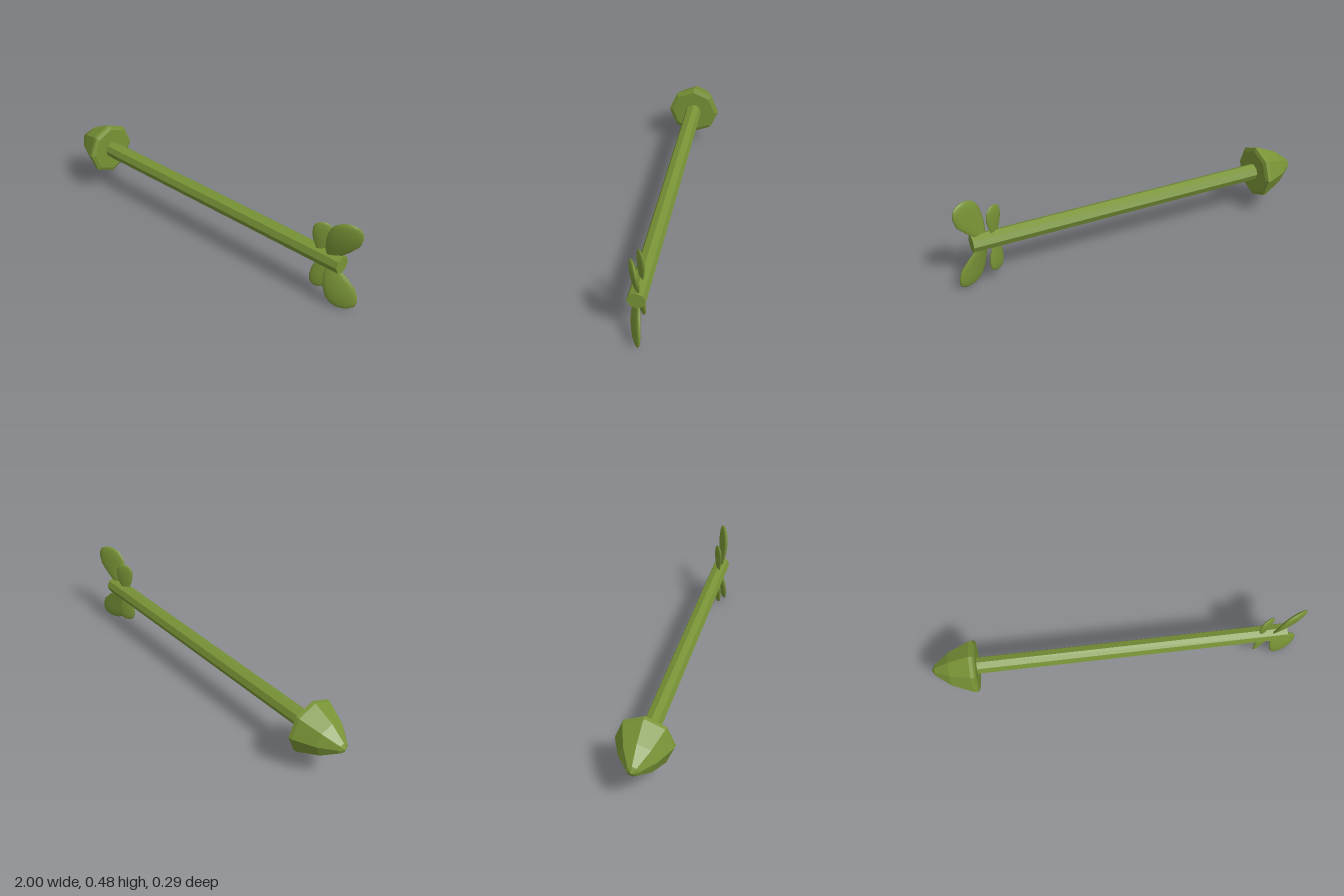
import * as THREE from 'three';

const AXIS_Y = 0.245;

// Hard facets without changing the shared material
function faceted(geometry) {
  const g = geometry.index ? geometry.toNonIndexed() : geometry;
  g.computeVertexNormals();
  return g;
}

// Vane lofted from rows of [height from axis, left x, right x, half thickness]
function vaneGeometry(rows, slope, zShift, side) {
  const N = 14, pos = [], idx = [];
  for (const [h, l, r, t] of rows) {
    const half = (r - l) / 2, mid = (l + r) / 2;
    for (let j = 0; j < N; j++) {
      const a = (j / N) * Math.PI * 2;
      const dx = Math.cos(a) * half;
      pos.push(mid + dx, AXIS_Y + side * h, zShift - slope * dx + Math.sin(a) * t);
    }
  }
  const tri = (a, b, c) => (side > 0 ? idx.push(a, b, c) : idx.push(a, c, b));
  for (let i = 0; i < rows.length - 1; i++) {
    for (let j = 0; j < N; j++) {
      const k = (j + 1) % N;
      const p = i * N + j, q = i * N + k;
      tri(p, p + N, q);
      if (i < rows.length - 2) tri(p + N, q + N, q);
    }
  }
  const g = new THREE.BufferGeometry();
  g.setAttribute('position', new THREE.Float32BufferAttribute(pos, 3));
  g.setIndex(idx);
  g.computeVertexNormals();
  return g;
}

export function createModel() {
  const model = new THREE.Group();
  model.name = 'arrow';
  const green = new THREE.MeshStandardMaterial({ color: 0x789336 });
  green.name = 'leaf green';

  const add = (name, geometry) => {
    const mesh = new THREE.Mesh(geometry, green);
    mesh.name = name;
    model.add(mesh);
    return mesh;
  };

  // Eight-sided shaft
  const shaft = new THREE.CylinderGeometry(0.046, 0.046, 1.68, 8);
  shaft.rotateZ(Math.PI / 2).translate(0.07, AXIS_Y, 0);
  add('shaft', faceted(shaft));

  // Eight-sided bud-shaped head, turned around the shaft axis
  const profile = [
    [0, 0.757], [0.126, 0.757], [0.147, 0.766], [0.145, 0.785],
    [0.094, 0.9], [0.03, 0.983], [0, 1],
  ].map(([r, d]) => new THREE.Vector2(r, d));
  const head = new THREE.LatheGeometry(profile, 8);
  head.rotateZ(Math.PI / 2).translate(0, AXIS_Y, 0);
  add('head', faceted(head));

  // Leaf-like vanes, mirrored above and below the shaft
  const large = [
    [0.02, 0.832, 0.88, 0.006], [0.045, 0.828, 0.9, 0.009], [0.075, 0.826, 0.935, 0.013],
    [0.125, 0.831, 0.982, 0.017], [0.17, 0.841, 0.996, 0.018], [0.2, 0.855, 0.996, 0.016],
    [0.222, 0.874, 0.986, 0.013], [0.236, 0.9, 0.963, 0.008], [0.242, 0.933, 0.933, 0],
  ];
  const small = [
    [0.02, 0.766, 0.81, 0.006], [0.045, 0.762, 0.811, 0.008], [0.08, 0.749, 0.824, 0.012],
    [0.12, 0.742, 0.831, 0.014], [0.155, 0.744, 0.828, 0.013], [0.175, 0.754, 0.817, 0.009],
    [0.185, 0.768, 0.803, 0.005], [0.188, 0.785, 0.785, 0],
  ];
  for (const [side, label] of [[1, 'upper'], [-1, 'lower']]) {
    add(label + 'LargeVane', vaneGeometry(large, 0.42, 0.005, side));
    add(label + 'SmallVane', vaneGeometry(small, 0.55, 0.002, side));
  }
  return model;
}
